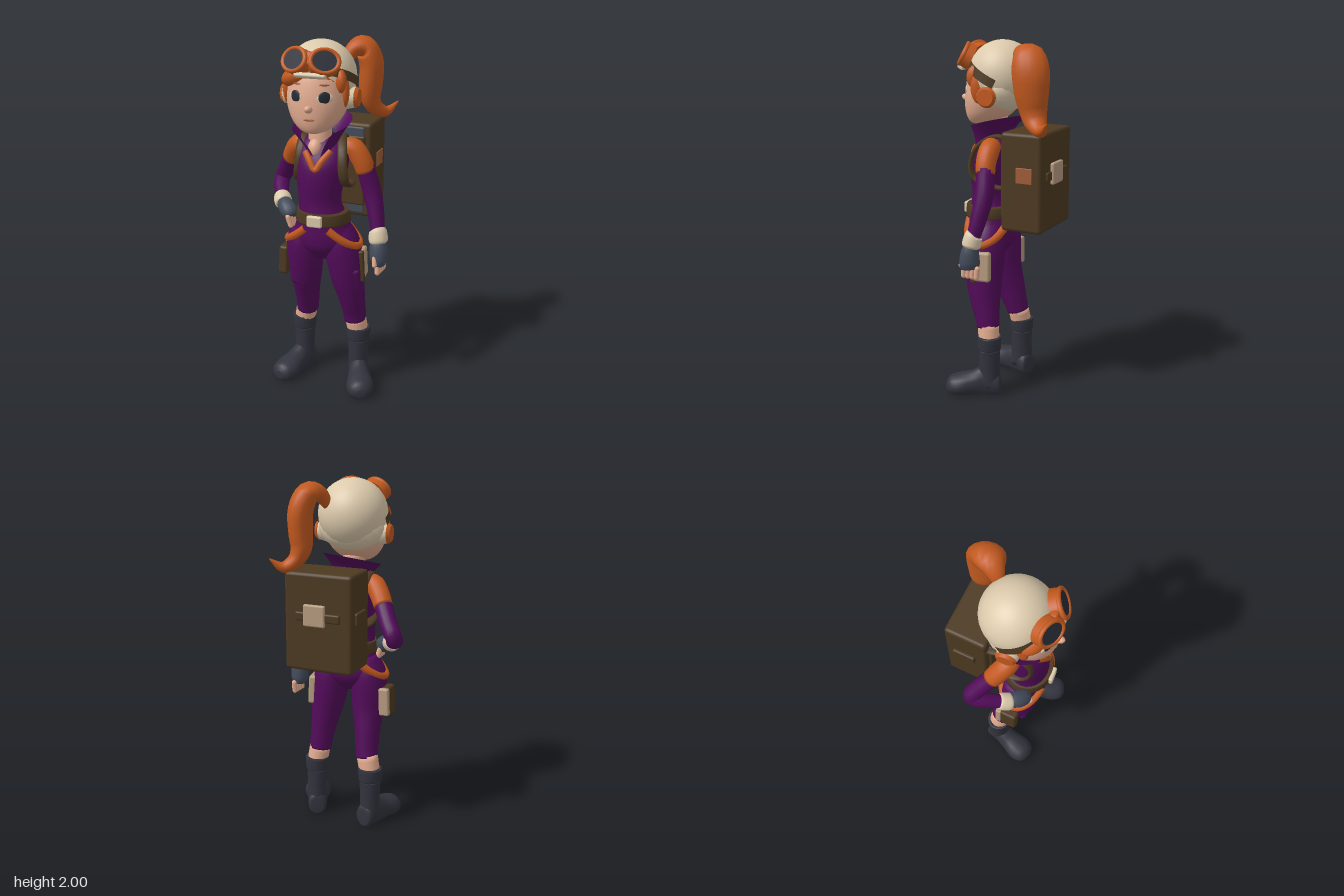
import * as THREE from 'three';
import { RoundedBoxGeometry } from 'three/addons/geometries/RoundedBoxGeometry.js';

const paint = (name, color, side = THREE.FrontSide) =>
  Object.assign(new THREE.MeshStandardMaterial({ color, side }), { name });
const V = (x, y, z) => new THREE.Vector3(x, y, z);
const X = V(1, 0, 0), Y = V(0, 1, 0), Z = V(0, 0, 1), BODY = V(0.97, 0, 0.24);

// Smooth tube through sections [x, y, z, radiusA, radiusB]; radiusA lies along ref.
// With an axis, all rings stay square to it instead of following the path.
function loft(secs, ref = X, n = 16, axis = null) {
  const path = new THREE.CatmullRomCurve3(secs.map(s => V(s[0], s[1], s[2])), false, 'catmullrom');
  const size = new THREE.CatmullRomCurve3(secs.map(s => V(s[3], s[4] ?? s[3], 0)), false, 'catmullrom');
  const rows = (secs.length - 1) * 4, pos = [], idx = [];
  for (let i = 0; i <= rows; i++) {
    const c = path.getPoint(i / rows), r = size.getPoint(i / rows), t = axis ?? path.getTangent(i / rows);
    const u = ref.clone().addScaledVector(t, -ref.dot(t)).normalize(), v = t.clone().cross(u);
    for (let j = 0; j < n; j++) {
      const a = j / n * Math.PI * 2;
      const p = c.clone().addScaledVector(u, Math.max(r.x, 0.002) * Math.cos(a))
        .addScaledVector(v, Math.max(r.y, 0.002) * Math.sin(a));
      pos.push(p.x, p.y, p.z);
    }
  }
  for (let j = 0; j < n; j++) {
    const k = (j + 1) % n, last = rows * n, c0 = (rows + 1) * n;
    for (let i = 0; i < rows; i++) {
      const a = i * n + j, b = i * n + k;
      idx.push(a, b, b + n, a, b + n, a + n);
    }
    idx.push(c0, k, j, c0 + 1, last + j, last + k);
  }
  pos.push(...secs[0].slice(0, 3), ...secs[secs.length - 1].slice(0, 3));
  const g = new THREE.BufferGeometry();
  g.setAttribute('position', new THREE.Float32BufferAttribute(pos, 3));
  g.setIndex(idx);
  g.computeVertexNormals();
  return g;
}

export function createModel() {
  const purple = paint('purple suit', 0x520b59, THREE.DoubleSide), orange = paint('orange', 0xc2591f);
  const cream = paint('cream', 0xdccaac, THREE.DoubleSide), skin = paint('skin', 0xe2ab8f);
  const boot = paint('boot charcoal', 0x32333d), brown = paint('brown leather', 0x4c3921, THREE.DoubleSide);
  const slate = paint('slate glove', 0x434b5a), tan = paint('tan', 0xb59a7e);
  const dark = paint('dark glass', 0x282b35), rust = paint('rust', 0xa05c38);
  const model = new THREE.Group();
  const add = (name, geo, mat, p = [0, 0, 0], r = [0, 0, 0], parent = model) => {
    const m = new THREE.Mesh(geo, mat);
    m.name = name;
    m.position.set(...p);
    m.rotation.set(...r);
    parent.add(m);
    return m;
  };
  const blob = (name, mat, p, s, r = [0, 0, 0], parent = model) =>
    add(name, new THREE.SphereGeometry(1, 20, 14), mat, p, r, parent).scale.set(...s);
  const box = (w, h, d, r = 0.01) => new RoundedBoxGeometry(w, h, d, 2, r);
  const group = (name, p, yaw) => {
    const g = new THREE.Group();
    g.name = name;
    g.position.set(...p);
    g.rotation.y = yaw;
    model.add(g);
    return g;
  };

  // Torso, neck and belt
  add('torso', loft([[-0.05, 0.8, 0.1, 0.05, 0.07], [-0.05, 0.87, 0.1, 0.15, 0.122], [-0.05, 0.93, 0.103, 0.186, 0.13],
    [-0.05, 1, 0.11, 0.155, 0.122], [-0.055, 1.06, 0.115, 0.135, 0.115], [-0.068, 1.14, 0.12, 0.119, 0.1],
    [-0.065, 1.25, 0.115, 0.132, 0.114], [-0.055, 1.35, 0.1, 0.146, 0.122], [-0.055, 1.43, 0.075, 0.142, 0.104],
    [-0.058, 1.49, 0.065, 0.08, 0.07]], BODY, 24, Y), purple);
  add('neck', loft([[-0.065, 1.38, 0.1, 0.06], [-0.068, 1.47, 0.09, 0.064], [-0.068, 1.6, 0.08, 0.062]]), skin);
  blob('throat', skin, [-0.09, 1.43, 0.146], [0.04, 0.055, 0.044]);
  add('belt', loft([[-0.05, 1.018, 0.115, 0.154, 0.138], [-0.05, 1.05, 0.115, 0.152, 0.138],
    [-0.052, 1.085, 0.117, 0.144, 0.132]], BODY, 24, Y), brown);
  add('buckle', box(0.085, 0.065, 0.025), cream, [-0.087, 1.052, 0.252], [0, -0.22, 0]);

  // Flared collar, open at the front
  const collar = new THREE.PlaneGeometry(1, 1, 32, 6), cp = collar.attributes.position;
  for (let i = 0; i < cp.count; i++) {
    const u = cp.getX(i) * 2, v = cp.getY(i) + 0.5;
    const a = Math.PI - 0.22 + u * (Math.PI - 0.22 - 0.42 * v), front = Math.cos(a + 0.22);
    const r = 0.088 + 0.07 * v ** 1.3, low = 1.455 - 0.055 * front, high = 1.555 - 0.035 * front + 0.02 * Math.sin(a);
    cp.setXYZ(i, -0.058 + r * 1.03 * Math.sin(a), low + (high - low) * v,
      0.07 + r * Math.cos(a) + 0.045 * (1 - v) * Math.max(front, 0));
  }
  collar.computeVertexNormals();
  add('collar', collar, purple);

  // Chest and hip trim, shoulder straps
  const tube = (name, pts, r, mat) =>
    add(name, new THREE.TubeGeometry(new THREE.CatmullRomCurve3(pts), 28, r, 8), mat);
  tube('chestTrim', [V(-0.14, 1.42, 0.165), V(-0.115, 1.38, 0.197), V(-0.085, 1.335, 0.219), V(-0.05, 1.38, 0.209), V(-0.005, 1.43, 0.18)], 0.018, orange);
  const strap = (name, pts) => add(name, loft(pts.map(p => [...p, 0.028, 0.013]), BODY, 10), brown);
  strap('leftPackStrap', [[0.06, 1.44, -0.06], [0.05, 1.485, 0.06], [0.055, 1.43, 0.165], [0.06, 1.33, 0.204], [0.075, 1.25, 0.18], [0.092, 1.21, 0.07], [0.09, 1.2, -0.06]]);
  strap('rightPackStrap', [[-0.13, 1.44, -0.1], [-0.155, 1.485, 0.03], [-0.17, 1.43, 0.115], [-0.18, 1.33, 0.14], [-0.185, 1.25, 0.1], [-0.165, 1.21, 0], [-0.12, 1.2, -0.09]]);
  for (const s of [1, -1]) {
    const pts = [];
    for (let i = 0; i <= 10; i++) {
      const f = 1.2 - i * 0.24, c = Math.cos(f), q = s * 1.03 * (0.15 + 0.05 * c) * c, w = 1.03 * (0.117 + 0.017 * c) * Math.sin(f);
      pts.push(V(-0.05 + 0.97 * q - 0.24 * w, 1.06 - 0.175 * c, 0.103 + 0.24 * q + 0.97 * w));
    }
    tube('hipTrim', pts, 0.023, orange);
  }

  // Legs, boots and feet
  const legs = [
    [[0.03, 0.99, 0.12, 0.07, 0.09], [0.055, 0.88, 0.125, 0.105, 0.115], [0.085, 0.7, 0.13, 0.097, 0.107],
      [0.11, 0.56, 0.12, 0.077, 0.088], [0.125, 0.46, 0.105, 0.067, 0.071], [0.13, 0.405, 0.1, 0.064, 0.066]],
    [[-0.13, 0.99, 0.08, 0.07, 0.09], [-0.155, 0.88, 0.075, 0.105, 0.115], [-0.155, 0.7, 0.06, 0.094, 0.105],
      [-0.155, 0.56, 0.02, 0.075, 0.086], [-0.155, 0.46, -0.01, 0.067, 0.071], [-0.158, 0.405, -0.025, 0.064, 0.066]]];
  legs.forEach((leg, i) => {
    const side = i ? 'right' : 'left', [kx, , kz] = leg[5], ax = i ? -0.178 : 0.15, az = i ? -0.045 : 0.09;
    add(side + 'Leg', loft(leg), purple);
    add(side + 'Knee', loft([[kx, 0.425, kz, 0.062], [ax, 0.31, az, 0.06]]), skin);
    add(side + 'BootShaft', loft([[ax, 0.352, az, 0.062, 0.062], [ax, 0.345, az, 0.07, 0.069], [ax, 0.28, az, 0.067, 0.067],
      [ax, 0.265, az, 0.062, 0.062], [ax, 0.16, az, 0.057, 0.062], [ax, 0.05, az, 0.056, 0.066]]), boot);
    const foot = loft([[0, 0.05, -0.066, 0.035, 0.045], [0, 0.06, -0.05, 0.055, 0.07], [0, 0.07, 0.03, 0.057, 0.095],
      [0, 0.06, 0.1, 0.068, 0.075], [0, 0.05, 0.17, 0.08, 0.066], [0, 0.045, 0.225, 0.064, 0.054], [0, 0.04, 0.25, 0.03, 0.025]], X, 18, Z);
    const fp = foot.attributes.position;
    for (let k = 0; k < fp.count; k++) fp.setY(k, Math.max(fp.getY(k), 0));
    foot.computeVertexNormals();
    add(side + 'Foot', foot, boot, [ax, 0, az], [0, i ? -0.58 : 0.12, 0]);
    add(side + 'CargoPocket', box(0.1, 0.14, 0.05, 0.022), purple, i ? [-0.19, 0.69, 0.12] : [0.11, 0.69, 0.2], [0.12, i ? -0.35 : 0.2, 0]);
  });

  // Thigh pouches
  add('leftPouch', box(0.045, 0.17, 0.1, 0.015), tan, [0.17, 0.77, 0.125], [0, -0.15, 0.05]);
  add('leftPouchFront', box(0.05, 0.185, 0.03), brown, [0.158, 0.765, 0.172], [0, -0.15, 0.05]);
  add('rightPouch', box(0.055, 0.17, 0.1, 0.015), brown, [-0.272, 0.745, 0.035], [0, -0.3, -0.04]);
  add('rightPouchBack', box(0.06, 0.16, 0.035), tan, [-0.252, 0.75, -0.022], [0, -0.3, -0.04]);

  // Arms: sleeve, forearm, cuff, glove, fingers
  add('leftSleeve', loft([[0.06, 1.43, 0.085, 0.05], [0.115, 1.42, 0.09, 0.057], [0.158, 1.36, 0.1, 0.056], [0.18, 1.3, 0.1, 0.053]], Z), orange);
  add('leftForearm', loft([[0.175, 1.33, 0.1, 0.05], [0.215, 1.19, 0.1, 0.052], [0.24, 1.07, 0.125, 0.046], [0.256, 0.94, 0.16, 0.036]]), purple);
  add('leftCuff', loft([[0.253, 0.975, 0.15, 0.043], [0.255, 0.965, 0.155, 0.05], [0.258, 0.92, 0.165, 0.053], [0.26, 0.905, 0.168, 0.042]]), cream);
  add('leftGlove', loft([[0.258, 0.93, 0.162, 0.036], [0.26, 0.88, 0.172, 0.05, 0.05], [0.262, 0.82, 0.175, 0.05, 0.058], [0.266, 0.785, 0.172, 0.036, 0.05]]), slate);
  add('rightSleeve', loft([[-0.15, 1.43, 0.04, 0.05], [-0.19, 1.42, 0.018, 0.056], [-0.222, 1.37, -0.025, 0.055], [-0.243, 1.32, -0.06, 0.052]]), orange);
  add('rightForearm', loft([[-0.235, 1.34, -0.045, 0.049], [-0.28, 1.23, -0.13, 0.049], [-0.308, 1.17, -0.165, 0.046],
    [-0.31, 1.135, -0.1, 0.044], [-0.29, 1.095, 0.01, 0.036]]), purple);
  add('rightCuff', loft([[-0.296, 1.105, -0.015, 0.042], [-0.293, 1.1, -0.002, 0.048], [-0.283, 1.085, 0.035, 0.05], [-0.278, 1.08, 0.048, 0.042]]), cream);
  add('rightGlove', loft([[-0.28, 1.085, 0.03, 0.036], [-0.262, 1.075, 0.075, 0.047], [-0.235, 1.05, 0.11, 0.047], [-0.222, 1.03, 0.125, 0.032]]), slate);
  for (let i = 0; i < 4; i++) {
    add('leftFinger', new THREE.CapsuleGeometry(0.0155, 0.05, 3, 8), skin, [0.287 - i * 0.01, 0.769, 0.13 + i * 0.026], [-0.1, 0, -0.05]);
    add('rightFinger', new THREE.CapsuleGeometry(0.015, 0.05, 3, 8), skin, [-0.212 - i * 0.008, 1.012, 0.075 + i * 0.025], [0, 0, 0.3]);
  }
  add('leftThumb', new THREE.CapsuleGeometry(0.014, 0.04, 3, 8), skin, [0.24, 0.815, 0.222], [-0.3, 0, 0]);

  // Backpack
  const pack = group('backpack', [0.055, 1.265, -0.158], -0.3);
  const inPack = (name, geo, mat, p) => add(name, geo, mat, p, [0, 0, 0], pack);
  inPack('packBody', box(0.39, 0.54, 0.24, 0.02), brown, [0, 0, 0]);
  inPack('packFrontPanel', box(0.31, 0.5, 0.02), slate, [0, 0, 0.116]);
  inPack('packPad', box(0.32, 0.4, 0.03), brown, [0, 0, 0.122]);
  inPack('packBackBand', box(0.26, 0.05, 0.02), brown, [0, 0.035, -0.122]);
  inPack('packClasp', box(0.125, 0.12, 0.025), tan, [0.015, 0.045, -0.13]);
  inPack('packPatch', box(0.008, 0.085, 0.095, 0.003), rust, [0.196, 0.045, -0.02]);
  inPack('packSideStrap', box(0.03, 0.07, 0.13), brown, [-0.196, 0.03, -0.01]);

  // Head and face
  const head = group('head', [-0.065, 0, 0.05], -0.22);
  const inHead = (name, geo, mat, p, r) => add(name, geo, mat, p, r, head);
  inHead('face', loft([[0, 1.532, 0.13, 0.04, 0.04], [0, 1.55, 0.11, 0.085, 0.085], [0, 1.6, 0.077, 0.135, 0.133],
    [0, 1.68, 0.05, 0.167, 0.163], [0, 1.76, 0.027, 0.17, 0.176], [0, 1.84, 0.01, 0.16, 0.168], [0, 1.9, 0, 0.12, 0.13]], X, 28, Y), skin);
  blob('nose', skin, [0, 1.672, 0.215], [0.021, 0.02, 0.033], [-0.3, 0, 0], head);
  blob('mouth', rust, [0, 1.615, 0.21], [0.03, 0.006, 0.006], [0, 0, 0], head);
  for (const s of [1, -1]) {
    blob('eyeWhite', cream, [s * 0.08, 1.728, 0.183], [0.044, 0.029, 0.008], [0, s * 0.48, 0], head);
    blob('iris', dark, [s * 0.078, 1.732, 0.187], [0.033, 0.032, 0.008], [0, s * 0.48, 0], head);
    blob('lowerLash', rust, [s * 0.08, 1.696, 0.184], [0.032, 0.005, 0.006], [0, s * 0.48, 0], head);
    blob('brow', rust, [s * 0.075, 1.796, 0.178], [0.028, 0.005, 0.006], [0, s * 0.48, s * -0.05], head);
    blob('sideLock', orange, [s * 0.15, 1.75, 0.07], [0.026, 0.09, 0.05], [0, s * 0.4, 0], head);
    const turn = [0, 0, -s * Math.PI / 2];
    inHead('earMuff', new THREE.CylinderGeometry(0.052, 0.064, 0.045, 20), cream, [s * 0.178, 1.705, 0.015], turn);
    inHead('earCap', new THREE.CylinderGeometry(0.045, 0.057, 0.018, 20), orange, [s * 0.206, 1.705, 0.012], turn);
  }

  // Hair and cap
  inHead('hair', new THREE.SphereGeometry(0.184, 32, 20, 0, Math.PI * 2, 0, 2.3), orange, [0, 1.808, -0.002], [-0.72, 0, 0]);
  blob('fringe', orange, [-0.095, 1.822, 0.114], [0.1, 0.052, 0.07], [0, -0.48, 0.4], head);
  blob('fringe', orange, [0.13, 1.805, 0.095], [0.036, 0.068, 0.058], [0, 0.6, 0], head);
  inHead('cap', new THREE.SphereGeometry(0.191, 32, 22, 0, Math.PI * 2, 0, 2.2), cream, [0, 1.808, -0.003], [-0.88, 0, 0]);
  blob('capNape', cream, [0, 1.735, -0.03], [0.185, 0.125, 0.12], [0, 0, 0], head);
  inHead('goggleStrap', new THREE.CylinderGeometry(0.197, 0.2, 0.05, 32, 1, true, -1.75, 3.5), brown, [0, 1.79, 0], [-0.46, 0, 0]);

  // Goggles pushed up on the forehead
  const goggles = new THREE.Group();
  goggles.name = 'goggles';
  goggles.position.set(0, 1.918, 0.186);
  goggles.rotation.x = -0.5;
  head.add(goggles);
  for (const s of [1, -1]) {
    const eye = new THREE.Group();
    eye.name = 'goggleEye';
    eye.position.set(s * 0.078, 0, 0);
    eye.rotation.set(0, s * 0.38, s * 0.15);
    eye.scale.set(1, 0.84, 1);
    goggles.add(eye);
    add('goggleCup', new THREE.CylinderGeometry(0.08, 0.086, 0.05, 24), orange, [0, 0, -0.015], [Math.PI / 2, 0, 0], eye);
    add('goggleRim', new THREE.TorusGeometry(0.073, 0.013, 10, 24), orange, [0, 0, 0.01], [0, 0, 0], eye);
    add('goggleLens', new THREE.CylinderGeometry(0.064, 0.064, 0.008, 24), dark, [0, 0, 0.012], [Math.PI / 2, 0, 0], eye);
  }
  add('goggleBridge', box(0.045, 0.075, 0.05, 0.015), orange, [0, 0.008, 0.005], [0, 0, 0], goggles);
  add('goggleBacking', box(0.17, 0.025, 0.04), cream, [0.01, -0.074, -0.01], [0, 0, 0], goggles);

  // Ponytail
  add('ponytail', loft([[0.06, 1.865, -0.06, 0.03, 0.028], [0.1, 1.925, -0.09, 0.055, 0.045], [0.155, 1.93, -0.125, 0.085, 0.062],
    [0.192, 1.85, -0.145, 0.1, 0.068], [0.193, 1.74, -0.15, 0.092, 0.066], [0.19, 1.65, -0.16, 0.075, 0.058],
    [0.22, 1.585, -0.18, 0.058, 0.043], [0.28, 1.555, -0.215, 0.032, 0.03], [0.345, 1.605, -0.25, 0.003, 0.003]], Z), orange);
  return model;
}
